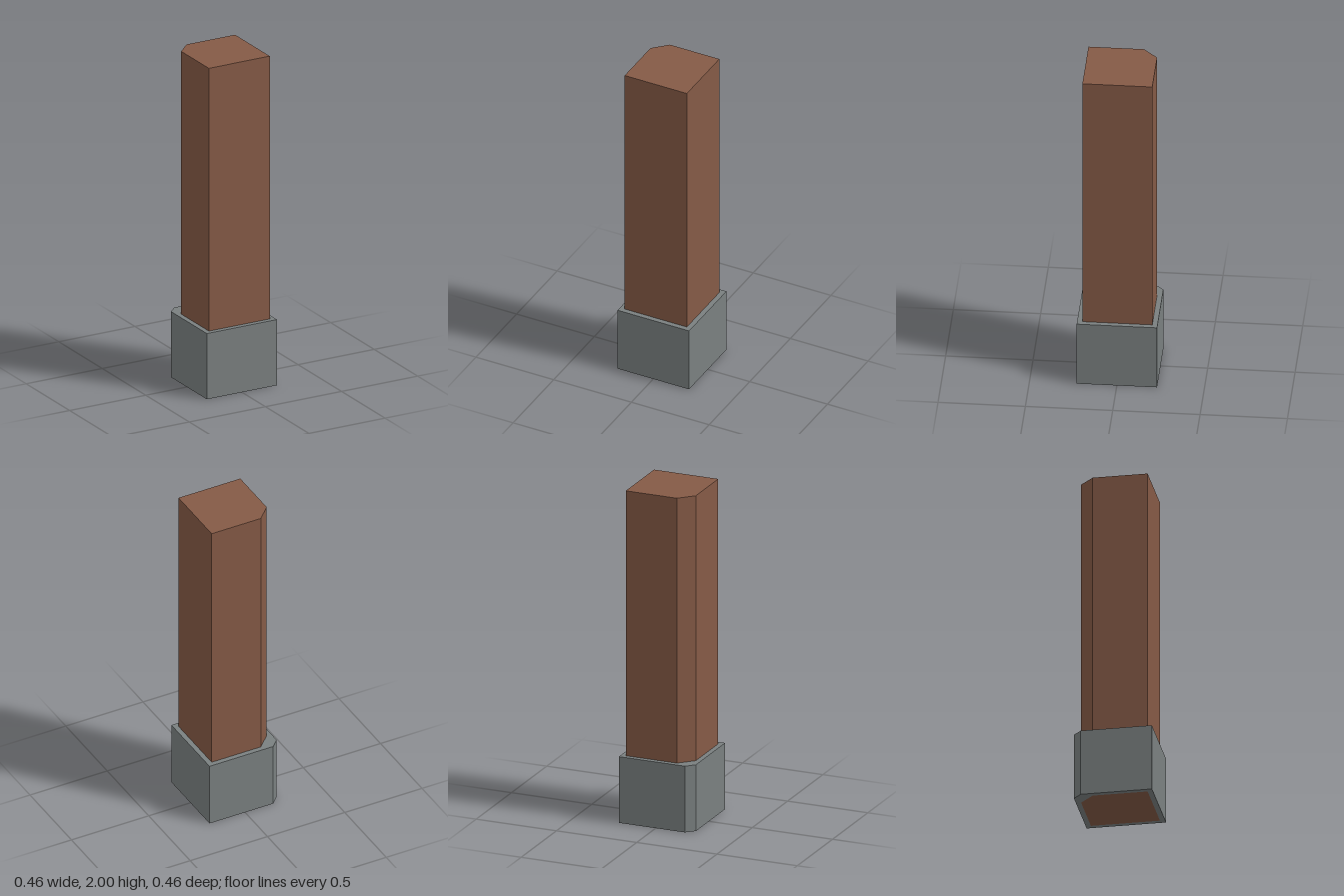
import * as THREE from 'three';

const brown = new THREE.MeshStandardMaterial({ name: 'brown', color: 0x855a46 });
const grey = new THREE.MeshStandardMaterial({ name: 'grey', color: 0x7a8080 });

// Square outline with the back corner on the -x side cut off
function outline(half, cut) {
  return [
    [-half, -half], [half, -half], [half, half],
    [-half + cut, half], [-half, half - cut],
  ].map(([x, y]) => new THREE.Vector2(x, y));
}

// Upright prism standing on y = 0
function prism(name, shape, height, material) {
  const geometry = new THREE.ExtrudeGeometry(shape, { depth: height, bevelEnabled: false });
  geometry.rotateX(-Math.PI / 2);
  const mesh = new THREE.Mesh(geometry, material);
  mesh.name = name;
  return mesh;
}

export function createModel() {
  const model = new THREE.Group();
  model.name = 'post';

  // Tall shaft running down through the base
  const shaftOutline = outline(0.2, 0.082);
  model.add(prism('shaft', new THREE.Shape(shaftOutline), 2, brown));

  // Base sleeve fitted around the shaft
  const sleeve = new THREE.Shape(outline(0.23, 0.048));
  sleeve.holes.push(new THREE.Path(shaftOutline));
  model.add(prism('baseSleeve', sleeve, 0.4, grey));

  return model;
}
